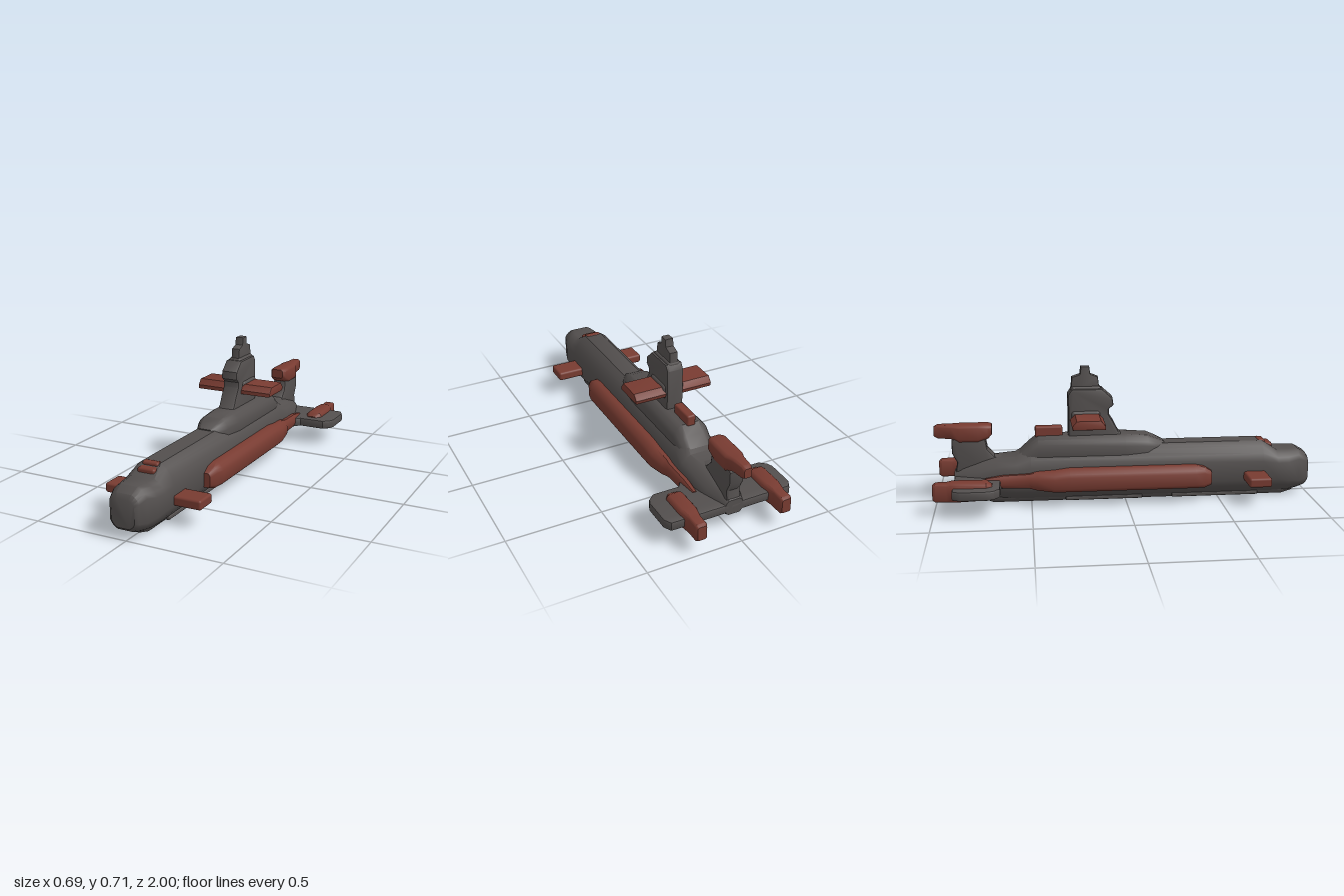
import * as THREE from 'three';
import { toCreasedNormals } from 'three/addons/utils/BufferGeometryUtils.js';
import { RoundedBoxGeometry } from 'three/addons/geometries/RoundedBoxGeometry.js';

const CX = -0.0125; // centreline of the hull
const grey = new THREE.MeshStandardMaterial({ color: 0x534f4e });
grey.name = 'hull grey';
const red = new THREE.MeshStandardMaterial({ color: 0x783b31 });
red.name = 'dark red';

// Cross-section with four softened corners: half width, bottom, top, lower and upper corner cuts
function ring([z, hw, y0, y1, lx, ly, ux, uy]) {
  const pts = [];
  const corner = (px, py, dx, dy, flip) => {
    for (let i = 0; i <= 3; i++) {
      const t = flip ? 1 - i / 3 : i / 3, a = t * Math.PI / 2;
      const u = 0.5 * (1 - Math.sin(a)) + 0.5 * (1 - t);
      const v = 0.5 * (1 - Math.cos(a)) + 0.5 * t;
      pts.push([px - dx * u, py - dy * v, z]);
    }
  };
  corner(hw, y0, lx, -ly, false);
  corner(hw, y1, ux, uy, true);
  corner(-hw, y1, -ux, uy, false);
  corner(-hw, y0, -lx, -ly, true);
  return pts;
}

// Closed skin over cross-sections listed from bow to stern
function loft(sections) {
  const rings = sections.map(ring), n = rings[0].length, pos = rings.flat(2), idx = [];
  for (let i = 0; i < rings.length - 1; i++)
    for (let j = 0; j < n; j++) {
      const k = (j + 1) % n, a = i * n + j, b = i * n + k;
      idx.push(a, a + n, b, b, a + n, b + n);
    }
  const end = (rings.length - 1) * n;
  for (let j = 1; j < n - 1; j++) idx.push(0, j, j + 1, end, end + j + 1, end + j);
  const g = new THREE.BufferGeometry();
  g.setAttribute('position', new THREE.Float32BufferAttribute(pos, 3));
  g.setIndex(idx);
  return toCreasedNormals(g, 0.6);
}

// Bevelled plate from an outline, centred on its thickness
function plate(points, thick, bevel) {
  const g = new THREE.ExtrudeGeometry(new THREE.Shape(points.map(p => new THREE.Vector2(...p))), {
    depth: thick - 2 * bevel, bevelEnabled: true, bevelThickness: bevel,
    bevelSize: bevel, bevelOffset: -bevel, bevelSegments: 2,
  });
  return toCreasedNormals(g.translate(0, 0, bevel - thick / 2), 0.6);
}

// Upright plate whose outline is given as (z, y)
const upright = (points, thick, bevel) =>
  plate(points.map(([z, y]) => [-z, y]), thick, bevel).rotateY(Math.PI / 2);

export function createModel() {
  const model = new THREE.Group();
  model.name = 'submarine';
  const add = (name, geo, mat, x = CX, y = 0, z = 0) => {
    const m = new THREE.Mesh(geo, mat);
    m.name = name;
    m.position.set(x, y, z);
    model.add(m);
    return m;
  };
  // Rounded box given by its extents in x (about the centreline), y and z
  const block = (name, mat, x0, x1, y0, y1, z0, z1, r = 0.012) =>
    add(name, new RoundedBoxGeometry(x1 - x0, y1 - y0, z1 - z0, 2, r), mat,
      CX + (x0 + x1) / 2, (y0 + y1) / 2, (z0 + z1) / 2);

  // Hull
  add('hull', loft([
    [1.00, 0.062, 0.06, 0.20, 0.03, 0.03, 0.03, 0.03],
    [0.985, 0.08, 0.045, 0.225, 0.04, 0.04, 0.04, 0.04],
    [0.94, 0.095, 0.03, 0.25, 0.05, 0.05, 0.05, 0.05],
    [0.88, 0.115, 0.02, 0.25, 0.06, 0.07, 0.06, 0.06],
    [0.82, 0.122, 0.02, 0.25, 0.06, 0.08, 0.06, 0.06],
    [0.74, 0.122, 0.02, 0.30, 0.06, 0.08, 0.074, 0.10],
    [-0.50, 0.122, 0.02, 0.30, 0.06, 0.08, 0.074, 0.10],
    [-0.58, 0.122, 0.02, 0.25, 0.06, 0.08, 0.06, 0.06],
    [-0.68, 0.115, 0.025, 0.245, 0.06, 0.08, 0.07, 0.07],
    [-0.78, 0.095, 0.04, 0.22, 0.05, 0.06, 0.065, 0.08],
    [-0.85, 0.07, 0.07, 0.20, 0.04, 0.04, 0.045, 0.06],
    [-0.90, 0.05, 0.09, 0.17, 0.02, 0.03, 0.02, 0.03],
  ]), grey);

  // Keel, with two long ribs on each side
  add('keel', loft([
    [0.92, 0.045, 0.015, 0.07, 0.01, 0.015, 0.005, 0.005],
    [0.86, 0.07, 0.0, 0.07, 0.025, 0.03, 0.005, 0.005],
    [-0.70, 0.07, 0.0, 0.07, 0.025, 0.03, 0.005, 0.005],
    [-0.80, 0.045, 0.035, 0.07, 0.01, 0.015, 0.005, 0.005],
  ]), grey);
  for (const s of [-1, 1])
    for (const [z0, z1] of [[0.25, 0.72], [-0.32, 0.09]])
      block('keelRib', grey, s * 0.065 - 0.012, s * 0.065 + 0.012, 0.006, 0.026, z0, z1, 0.005);

  // Raised deck below the sail
  add('upperDeck', loft([
    [0.21, 0.05, 0.2, 0.305, 0.005, 0.005, 0.02, 0.03],
    [0.17, 0.07, 0.2, 0.325, 0.005, 0.005, 0.03, 0.04],
    [0.12, 0.09, 0.2, 0.345, 0.005, 0.005, 0.04, 0.05],
    [0.00, 0.097, 0.2, 0.355, 0.005, 0.005, 0.05, 0.055],
    [-0.46, 0.097, 0.2, 0.35, 0.005, 0.005, 0.05, 0.055],
    [-0.51, 0.092, 0.2, 0.31, 0.005, 0.005, 0.045, 0.05],
    [-0.57, 0.08, 0.2, 0.252, 0.005, 0.005, 0.03, 0.03],
  ]), grey);

  // Sail and mast
  add('sail', upright([
    [0.0, 0.33], [-0.035, 0.37], [-0.06, 0.42], [-0.085, 0.46], [-0.085, 0.49], [-0.06, 0.51],
    [-0.065, 0.55], [-0.12, 0.60], [-0.28, 0.60], [-0.30, 0.57], [-0.30, 0.33],
  ], 0.095, 0.014), grey);
  add('mast', upright([
    [-0.13, 0.57], [-0.14, 0.66], [-0.18, 0.675], [-0.185, 0.715], [-0.23, 0.715],
    [-0.235, 0.675], [-0.278, 0.66], [-0.285, 0.57],
  ], 0.048, 0.008), grey);
  block('mastBase', grey, -0.036, 0.036, 0.57, 0.612, -0.285, -0.125, 0.016);
  block('sailPlaneRoot', grey, -0.06, 0.06, 0.405, 0.485, -0.285, -0.13, 0.02);
  add('sailPlanes', upright([
    [-0.115, 0.42], [-0.115, 0.44], [-0.14, 0.47], [-0.265, 0.47], [-0.29, 0.44], [-0.285, 0.42],
  ], 0.435, 0.008), red);

  // Deck hatches
  block('bowHatch', red, -0.048, 0.048, 0.25, 0.285, 0.72, 0.80);
  block('bowHatchTop', red, -0.044, 0.044, 0.26, 0.303, 0.72, 0.76, 0.01);
  block('aftHatch', red, -0.024, 0.024, 0.34, 0.40, -0.475, -0.33, 0.01);

  // Bow planes
  block('bowPlanes', red, -0.265, 0.265, 0.10, 0.15, 0.63, 0.75);

  // Tail planes
  const half = [[0, 0.60], [0.13, 0.62], [0.16, 0.66], [0.30, 0.66], [0.335, 0.69], [0.347, 0.72], [0.347, 0.86], [0.325, 0.90], [0, 0.90]];
  const outline = [...half, ...half.slice(1, -1).reverse().map(([x, z]) => [-x, z])];
  add('tailPlanes', plate(outline, 0.05, 0.01).rotateX(-Math.PI / 2), grey, 0, 0.125, 0);

  // Pods along the sides and on the tail planes
  for (const s of [-1, 1]) {
    add('sidePod', loft([
      [0.45, 0.03, 0.09, 0.165, 0.01, 0.015, 0.01, 0.02],
      [0.41, 0.05, 0.08, 0.19, 0.015, 0.02, 0.02, 0.03],
      [0.36, 0.06, 0.08, 0.20, 0.02, 0.02, 0.04, 0.04],
      [-0.30, 0.06, 0.08, 0.20, 0.02, 0.02, 0.04, 0.04],
      [-0.38, 0.058, 0.08, 0.19, 0.02, 0.02, 0.04, 0.04],
      [-0.47, 0.045, 0.09, 0.185, 0.02, 0.02, 0.03, 0.04],
      [-0.51, 0.03, 0.10, 0.175, 0.01, 0.02, 0.015, 0.03],
      [-0.64, 0.026, 0.105, 0.17, 0.01, 0.02, 0.015, 0.03],
      [-0.74, 0.012, 0.11, 0.155, 0.005, 0.01, 0.005, 0.01],
    ]), red, CX + s * 0.126);
  }
  const podShape = [
    [-0.70, 0.026, -0.03, 0.03, 0.01, 0.01, 0.01, 0.01],
    [-0.73, 0.046, -0.045, 0.048, 0.018, 0.018, 0.018, 0.018],
    [-0.86, 0.046, -0.05, 0.05, 0.018, 0.018, 0.018, 0.018],
    [-0.91, 0.036, -0.05, 0.05, 0.014, 0.018, 0.014, 0.018],
    [-0.93, 0.03, -0.05, 0.045, 0.01, 0.01, 0.01, 0.01],
    [-0.985, 0.03, -0.05, 0.045, 0.01, 0.01, 0.01, 0.01],
    [-1.0, 0.024, -0.04, 0.035, 0.008, 0.008, 0.008, 0.008],
  ];
  for (const s of [-1, 1]) add('tailPod', loft(podShape), red, CX + s * 0.23, 0.125);

  // Tail fin and its pod
  add('tailFin', upright([
    [-0.60, 0.17], [-0.64, 0.245], [-0.69, 0.25], [-0.725, 0.29], [-0.735, 0.35], [-0.88, 0.36],
    [-0.91, 0.34], [-0.91, 0.27], [-0.885, 0.22], [-0.90, 0.13], [-0.70, 0.12],
  ], 0.08, 0.014), grey);
  add('finPod', loft([
    [-0.70, 0.035, 0.365, 0.415, 0.012, 0.012, 0.012, 0.012],
    [-0.72, 0.048, 0.345, 0.42, 0.018, 0.02, 0.018, 0.016],
    [-0.77, 0.048, 0.325, 0.42, 0.018, 0.018, 0.018, 0.016],
    [-0.87, 0.048, 0.325, 0.42, 0.018, 0.018, 0.018, 0.016],
    [-0.91, 0.034, 0.345, 0.42, 0.014, 0.014, 0.014, 0.014],
    [-0.98, 0.026, 0.35, 0.42, 0.01, 0.01, 0.01, 0.01],
    [-1.0, 0.02, 0.36, 0.41, 0.008, 0.008, 0.008, 0.008],
  ]), red);

  return model;
}
